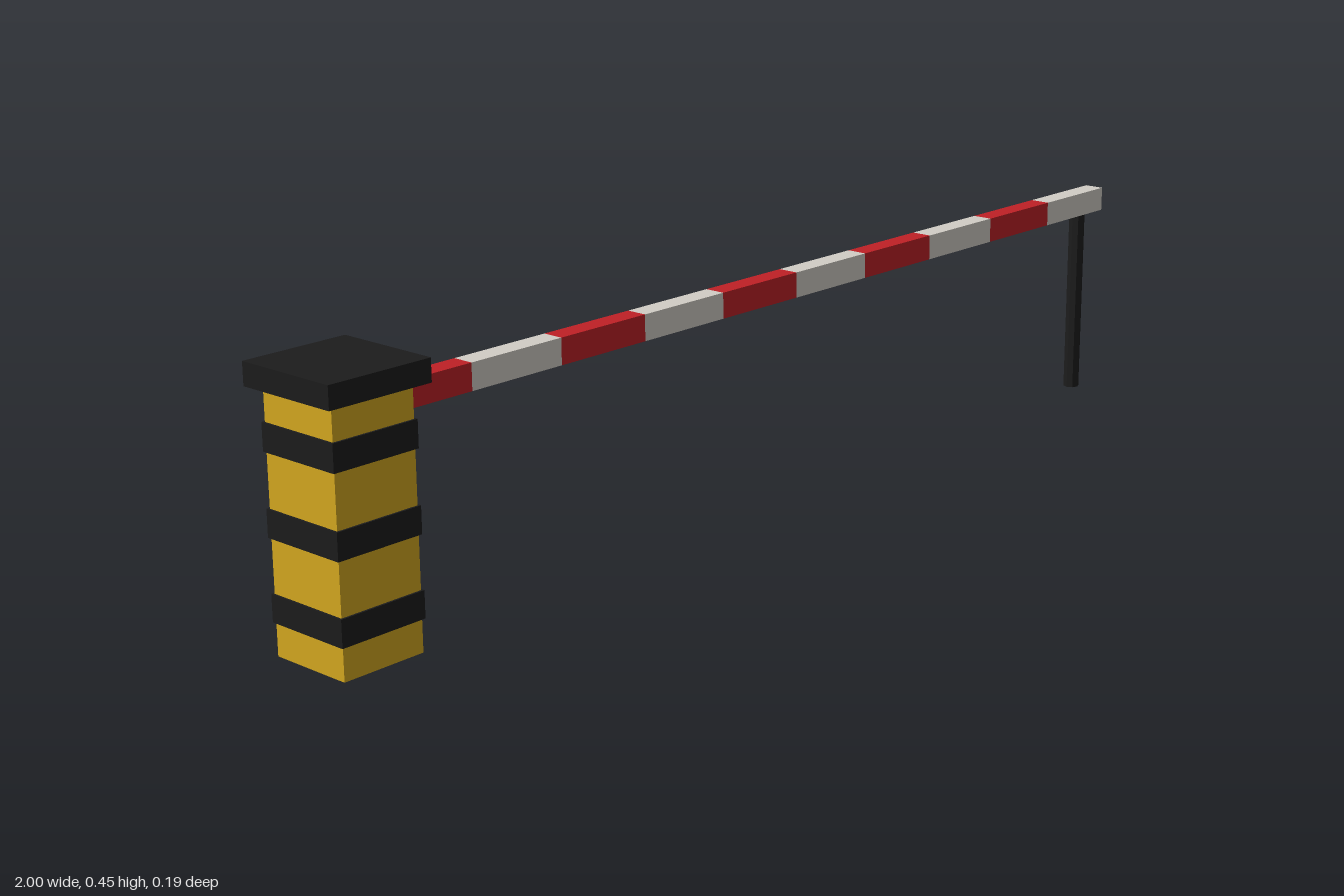
import * as THREE from 'three';

const material = (color) => new THREE.MeshStandardMaterial({ color, flatShading: true });

export function createModel() {
  const model = new THREE.Group();
  model.name = 'barrierGate';
  const yellow = material(0xd4a820);
  const black = material(0x1c1c1c);
  const red = material(0xbf2026);
  const white = material(0xd2cec6);

  const add = (parent, name, geometry, mat, x, y) => {
    const mesh = new THREE.Mesh(geometry, mat);
    mesh.name = name;
    mesh.position.set(x, y, 0);
    parent.add(mesh);
  };

  // Striped housing with an overhanging cap
  const housing = new THREE.Group();
  housing.name = 'housing';
  housing.position.x = -0.907;
  model.add(housing);
  add(housing, 'housingBody', new THREE.BoxGeometry(0.148, 0.409, 0.148), yellow, 0, 0.2045);
  add(housing, 'housingCap', new THREE.BoxGeometry(0.186, 0.037, 0.186), black, 0, 0.4275);
  for (let i = 0; i < 3; i++) {
    add(housing, 'housingBand', new THREE.BoxGeometry(0.155, 0.044, 0.155), black, 0, 0.075 + i * 0.1295);
  }

  // Boom arm: alternating red and white segments, starting inside the housing
  const boom = new THREE.Group();
  boom.name = 'boom';
  model.add(boom);
  const count = 10;
  const start = -0.856;
  const length = (1 - start) / count;
  for (let i = 0; i < count; i++) {
    add(boom, i % 2 ? 'whiteSegment' : 'redSegment', new THREE.BoxGeometry(length, 0.044, 0.037),
      i % 2 ? white : red, start + (i + 0.5) * length, 0.372);
  }

  // Rest post under the free end of the boom
  add(model, 'restPost', new THREE.CylinderGeometry(0.015, 0.015, 0.35, 8), black, 0.943, 0.175);

  return model;
}
